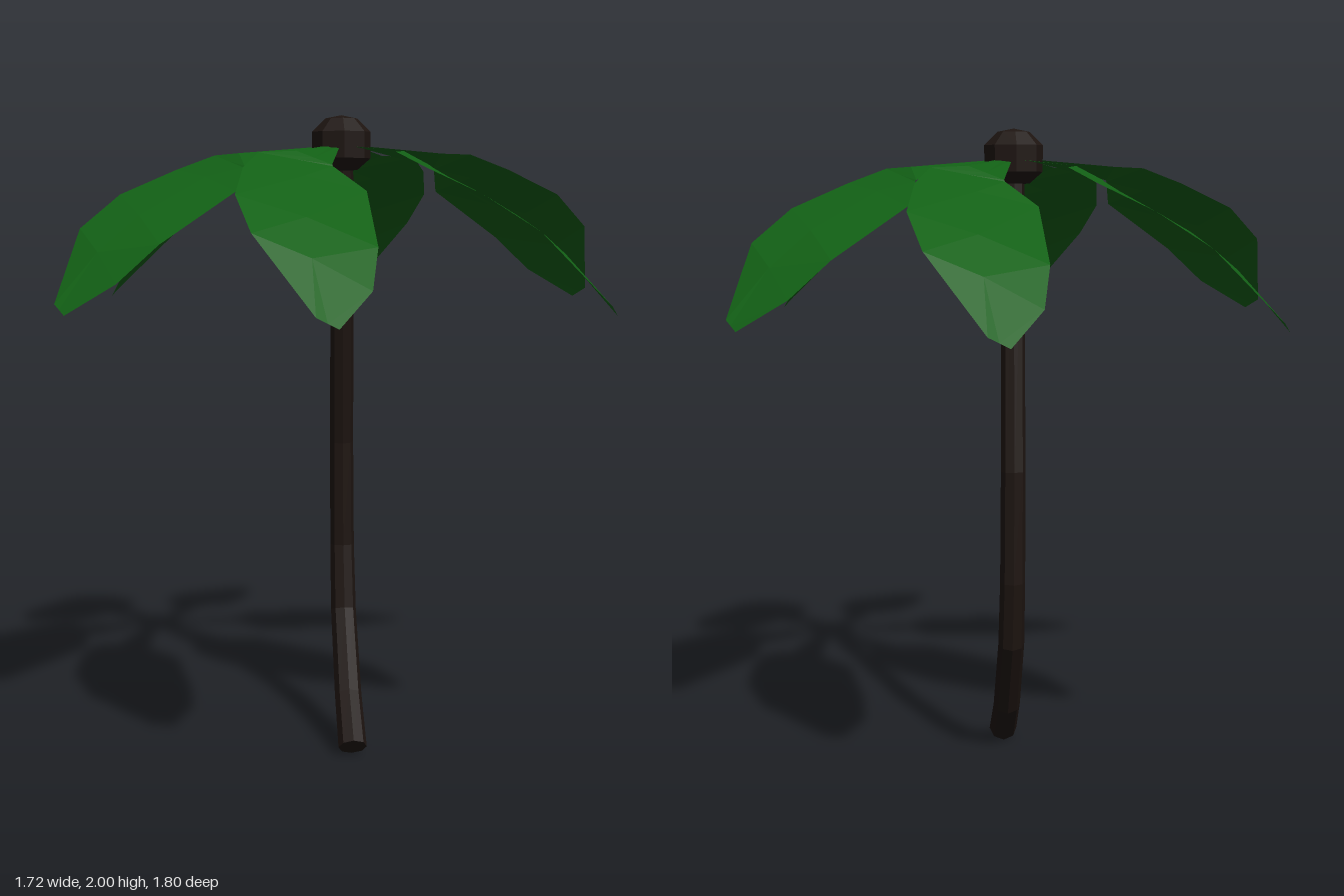
import * as THREE from 'three';

const bark = new THREE.MeshStandardMaterial({ color: 0x1e1511, flatShading: true });
const green = new THREE.MeshStandardMaterial({ color: 0x126015, flatShading: true, side: THREE.DoubleSide });

// Bent trunk: a cylinder whose rings follow a path, listed from top to bottom as x, y, z, radius
function trunkGeometry() {
  const path = [
    [0, 1.9, 0, 0.035], [0.005, 1.75, -0.022, 0.036], [0.018, 0.965, -0.162, 0.038],
    [0.02, 0.62, -0.165, 0.039], [0.02, 0.41, -0.124, 0.041], [0.02, 0.165, 0.02, 0.043],
    [0.02, 0.034, 0.15, 0.045],
  ];
  const n = path.length - 1;
  const points = path.map(p => new THREE.Vector3(p[0], p[1], p[2]));
  const geo = new THREE.CylinderGeometry(1, 1, 1, 8, n);
  const pos = geo.attributes.position;
  const side = new THREE.Vector3(1, 0, 0);
  for (let i = 0; i < pos.count; i++) {
    const k = Math.round((0.5 - pos.getY(i)) * n);
    const up = new THREE.Vector3();
    if (k > 0) up.add(points[k - 1].clone().sub(points[k]).normalize());
    if (k < n) up.add(points[k].clone().sub(points[k + 1]).normalize());
    const depth = new THREE.Vector3().crossVectors(side, up).normalize();
    const v = points[k].clone()
      .addScaledVector(side, pos.getX(i) * path[k][3])
      .addScaledVector(depth, pos.getZ(i) * path[k][3]);
    pos.setXYZ(i, v.x, v.y, v.z);
  }
  geo.computeVertexNormals();
  return geo;
}

// Drooping, slightly twisted leaf: rows of left edge, raised middle and right edge
function leafGeometry() {
  const rows = [
    [[-0.06, 1.905, 0.05], [-0.01, 1.905, 0.05]],
    [[-0.16, 1.885, 0.27], [-0.06, 1.845, 0.315]],
    [[-0.27, 1.88, 0.29], [-0.058, 1.84, 0.32]],
    [[-0.32, 1.835, 0.4], [0.03, 1.77, 0.4]],
    [[-0.35, 1.76, 0.58], [0.03, 1.62, 0.66]],
    [[-0.315, 1.66, 0.735], [0, 1.51, 0.785]],
    [[-0.16, 1.45, 0.9], [-0.1, 1.42, 0.9]],
  ];
  const verts = [], index = [];
  rows.forEach(([l, r], i) => {
    const raise = i > 2 && i < 6 ? 0.01 : 0;
    const mid = l.map((c, a) => (c + r[a]) / 2 + (a === 1 ? raise : 0));
    verts.push(...l, ...mid, ...r);
    if (i === rows.length - 1) return;
    for (let c = 0; c < 2; c++) {
      const a = i * 3 + c;
      index.push(a, a + 3, a + 1, a + 1, a + 3, a + 4);
    }
  });
  const geo = new THREE.BufferGeometry();
  geo.setAttribute('position', new THREE.Float32BufferAttribute(verts, 3));
  geo.setIndex(index);
  geo.computeVertexNormals();
  return geo;
}

export function createModel() {
  const model = new THREE.Group();
  model.name = 'palmTree';
  const add = (name, geo, mat, parent = model) => {
    const mesh = new THREE.Mesh(geo, mat);
    mesh.name = name;
    parent.add(mesh);
    return mesh;
  };

  add('trunk', trunkGeometry(), bark);

  // Faceted knob where the leaves meet
  const profile = [[0, 1.83], [0.05, 1.835], [0.09, 1.87], [0.09, 1.95], [0.05, 1.99], [0, 2]]
    .map(p => new THREE.Vector2(...p));
  add('crownKnob', new THREE.LatheGeometry(profile, 8), bark);

  // Six leaves around the crown
  const leaves = new THREE.Group();
  leaves.name = 'leaves';
  model.add(leaves);
  const leaf = leafGeometry();
  for (let i = 0; i < 6; i++) add('leaf' + (i + 1), leaf, green, leaves).rotation.y = i * Math.PI / 3;

  return model;
}
